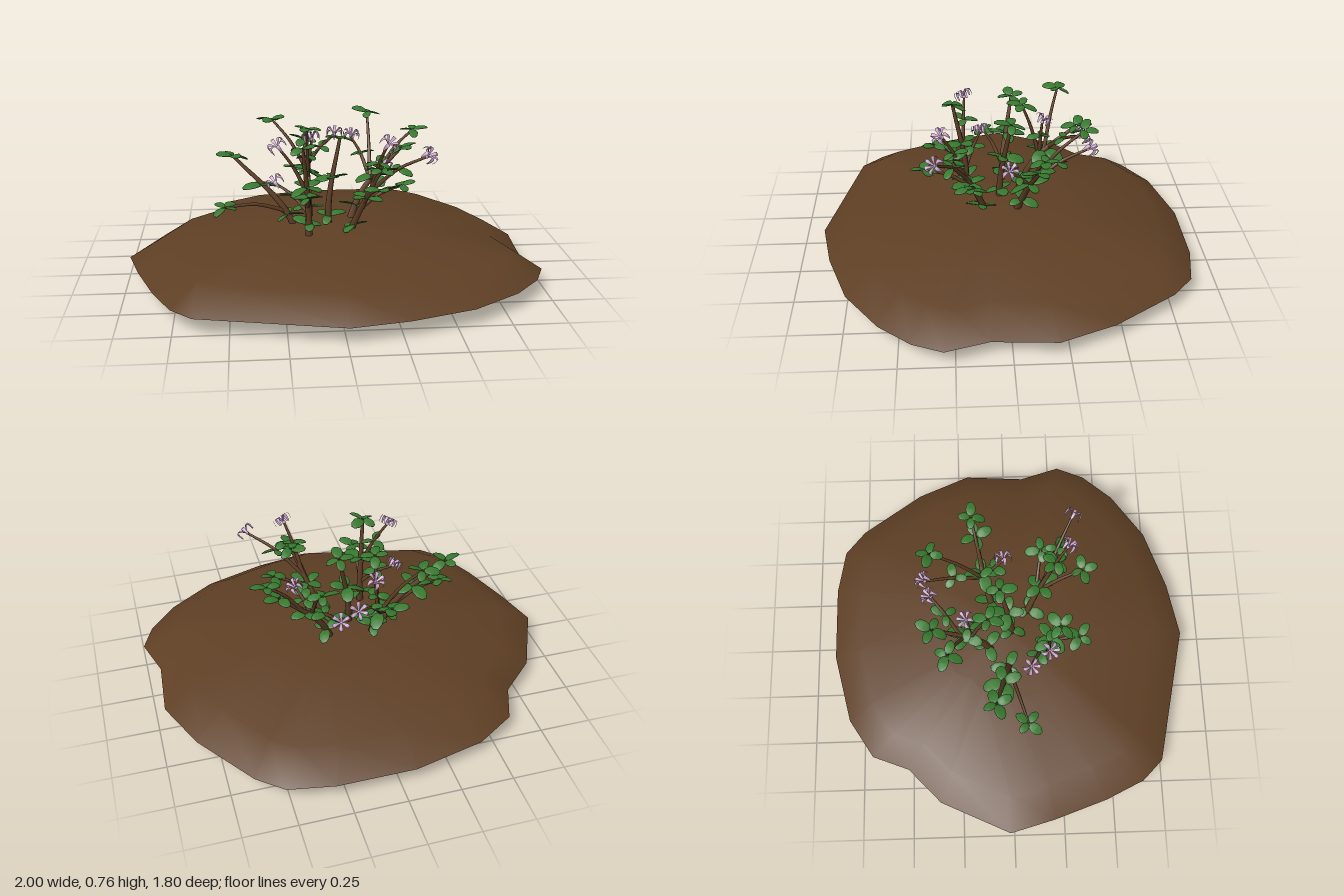
import * as THREE from 'three';

const mat = (name, color, side = THREE.FrontSide) => {
  const m = new THREE.MeshStandardMaterial({ color, side });
  m.name = name;
  return m;
};
const V = (p) => new THREE.Vector3(...p);

// Soil outline (x, z), and rings that shrink and rise from it (scale, y)
const OUTLINE = [
  [-1, -0.02], [-0.84, -0.36], [-0.67, -0.52], [-0.6, -0.7], [-0.41, -0.82], [-0.07, -0.9], [0.3, -0.9],
  [0.52, -0.86], [0.64, -0.76], [0.85, -0.46], [0.96, -0.2], [0.94, 0.1], [1, 0.3], [0.94, 0.44],
  [0.81, 0.59], [0.58, 0.75], [0.28, 0.85], [0.01, 0.9], [-0.66, 0.75], [-0.76, 0.65], [-0.85, 0.46], [-0.94, 0.2],
];
const RINGS = [[1, 0.08], [0.84, 0.178], [0.38, 0.24], [0, 0.252]];

// Open soil shell
function moundGeometry() {
  const pos = [], idx = [], n = OUTLINE.length;
  for (const [s, y] of RINGS) for (const [x, z] of OUTLINE) pos.push(x * s, y, z * s);
  for (let k = 0; k < RINGS.length - 1; k++) {
    for (let i = 0; i < n; i++) {
      const a = k * n + i, b = k * n + (i + 1) % n, c = a + n, d = b + n;
      idx.push(a, c, d, a, d, b);
    }
  }
  const g = new THREE.BufferGeometry();
  g.setAttribute('position', new THREE.Float32BufferAttribute(pos, 3));
  g.setIndex(idx);
  g.computeVertexNormals();
  return g;
}

// Tube whose rings shrink from r0 to r1
function taperedTube(curve, r0, r1) {
  const T = 10, R = 7;
  const g = new THREE.TubeGeometry(curve, T, 1, R);
  const p = g.attributes.position, v = new THREE.Vector3();
  for (let i = 0; i <= T; i++) {
    const c = curve.getPointAt(i / T), r = r0 + (r1 - r0) * i / T;
    for (let j = 0; j <= R; j++) {
      const k = i * (R + 1) + j;
      v.fromBufferAttribute(p, k).sub(c).multiplyScalar(r).add(c);
      p.setXYZ(k, v.x, v.y, v.z);
    }
  }
  return g;
}

// Leaf: thin rounded blade along +x, drooping toward the tip
function leafGeometry() {
  const g = new THREE.SphereGeometry(1, 9, 5);
  g.scale(0.046, 0.006, 0.032).translate(0.05, 0, 0);
  const p = g.attributes.position;
  for (let i = 0; i < p.count; i++) p.setY(i, p.getY(i) - 2.2 * p.getX(i) ** 2 + 3 * p.getZ(i) ** 2);
  g.computeVertexNormals();
  return g;
}

// Petal: narrow strip along +x that rises and curls back
function petalGeometry() {
  const g = new THREE.PlaneGeometry(1, 1, 5, 1).rotateX(-Math.PI / 2);
  const p = g.attributes.position;
  for (let i = 0; i < p.count; i++) {
    const t = p.getX(i) + 0.5;
    const w = 0.005 + 0.013 * Math.sin(Math.PI * t * 0.95);
    p.setXYZ(i, 0.044 * Math.sin(t * 1.9), 0.035 * Math.sin(t * 3.3), p.getZ(i) * w);
  }
  g.computeVertexNormals();
  return g;
}

// Main stems, from below the soil to the tip
const STEMS = [
  [[-0.1, 0.02, 0], [-0.23, 0.32, -0.01], [-0.48, 0.58, -0.07]],
  [[-0.13, 0.01, 0.2], [-0.12, 0.35, 0.18], [-0.15, 0.69, 0.24]],
  [[-0.11, 0.02, -0.03], [-0.1, 0.38, -0.15], [-0.11, 0.58, -0.37]],
  [[0, 0, 0.02], [-0.01, 0.35, 0.01], [0.05, 0.67, -0.04]],
  [[0.05, 0.06, -0.01], [0.16, 0.36, -0.1], [0.37, 0.58, -0.15]],
  [[0.02, 0.02, 0.03], [0.13, 0.34, 0.13], [0.22, 0.58, 0.24]],
];
// Twigs: stem index, place along the stem, tip position
const LEAFY_TWIGS = [
  [0, 0.45, -0.52, 0.36, 0.08], [1, 0.55, -0.13, 0.48, 0.34], [2, 0.7, -0.28, 0.71, -0.29], [2, 0.65, -0.11, 0.7, -0.1],
  [4, 0.65, 0.22, 0.72, -0.37], [4, 0.75, 0.43, 0.67, -0.17], [5, 0.6, 0.33, 0.48, 0.17], [5, 0.65, 0.2, 0.52, 0.37],
];
const FLOWERING_TWIGS = [
  [1, 0.65, -0.26, 0.68, 0.18], [1, 0.5, -0.27, 0.48, 0.1], [2, 0.75, 0.05, 0.6, -0.37], [2, 0.65, -0.08, 0.62, -0.2],
  [4, 0.65, 0.14, 0.58, -0.4], [4, 0.65, 0.26, 0.53, -0.02], [5, 0.75, 0.42, 0.66, 0.32], [5, 0.8, 0.24, 0.71, 0.29],
];

export function createModel() {
  const model = new THREE.Group();
  const soil = mat('soil brown', 0x5e3f24, THREE.DoubleSide);
  const bark = mat('bark brown', 0x5c3d24, THREE.DoubleSide);
  const green = mat('leaf green', 0x37792f);
  const lilac = mat('petal lilac', 0xc9a3cd, THREE.DoubleSide);
  const leafGeo = leafGeometry(), petalGeo = petalGeometry();
  const centreGeo = new THREE.SphereGeometry(0.009, 7, 5);
  const add = (parent, name, geo, m) => {
    const mesh = new THREE.Mesh(geo, m);
    mesh.name = name;
    parent.add(mesh);
    return mesh;
  };
  const groupAt = (name, p) => {
    const g = new THREE.Group();
    g.name = name;
    g.position.copy(p);
    model.add(g);
    return g;
  };

  // Leaves fanned round a node, each with its own tilt
  let w = 0;
  const addWhorl = (p, n, size) => {
    const whorl = groupAt('leafWhorl', p);
    w++;
    for (let i = 0; i < n; i++) {
      const leaf = add(whorl, 'leaf', leafGeo, green);
      leaf.rotation.set(0.3 * Math.sin(w * 5 + i * 3), w * 1.7 + i * 2 * Math.PI / n, 0.15 + 0.3 * Math.sin(w * 3 + i * 2), 'YZX');
      leaf.scale.setScalar(size * (0.9 + 0.12 * Math.sin(w + i * 4)));
    }
  };

  // Flower with curling petals, leaning outward
  const addFlower = (p) => {
    const flower = groupAt('flower', p);
    flower.quaternion.setFromUnitVectors(new THREE.Vector3(0, 1, 0), new THREE.Vector3(p.x, 0.4, p.z).normalize());
    for (let i = 0; i < 6; i++) add(flower, 'petal', petalGeo, lilac).rotation.y = p.x * 9 + i * Math.PI / 3;
    add(flower, 'flowerCentre', centreGeo, lilac);
  };

  add(model, 'soilMound', moundGeometry(), soil);

  // Stems with closed lower ends and leaves at three heights
  const stems = STEMS.map((points) => {
    const curve = new THREE.CatmullRomCurve3(points.map(V));
    add(model, 'stem', taperedTube(curve, 0.023, 0.008), bark);
    const cap = add(model, 'stemEnd', new THREE.CircleGeometry(0.023, 7), bark);
    cap.position.set(...points[0]);
    cap.rotation.x = Math.PI / 2;
    addWhorl(curve.getPointAt(0.42), 3, 0.95);
    addWhorl(curve.getPointAt(0.7), 4, 1.1);
    addWhorl(curve.getPointAt(1), 4, 0.9);
    return curve;
  });

  // Arched twig from a stem to its tip
  const addTwig = ([s, t, ...tip]) => {
    const start = stems[s].getPointAt(t), end = V(tip);
    const mid = start.clone().lerp(end, 0.5);
    mid.y += 0.08 * start.distanceTo(end);
    add(model, 'twig', taperedTube(new THREE.CatmullRomCurve3([start, mid, end]), 0.011, 0.006), bark);
    return { mid, end };
  };
  for (const twig of LEAFY_TWIGS) addWhorl(addTwig(twig).end, 4, 0.85);
  for (const twig of FLOWERING_TWIGS) {
    const { mid, end } = addTwig(twig);
    addWhorl(mid, 3, 0.8);
    addFlower(end);
  }
  return model;
}
